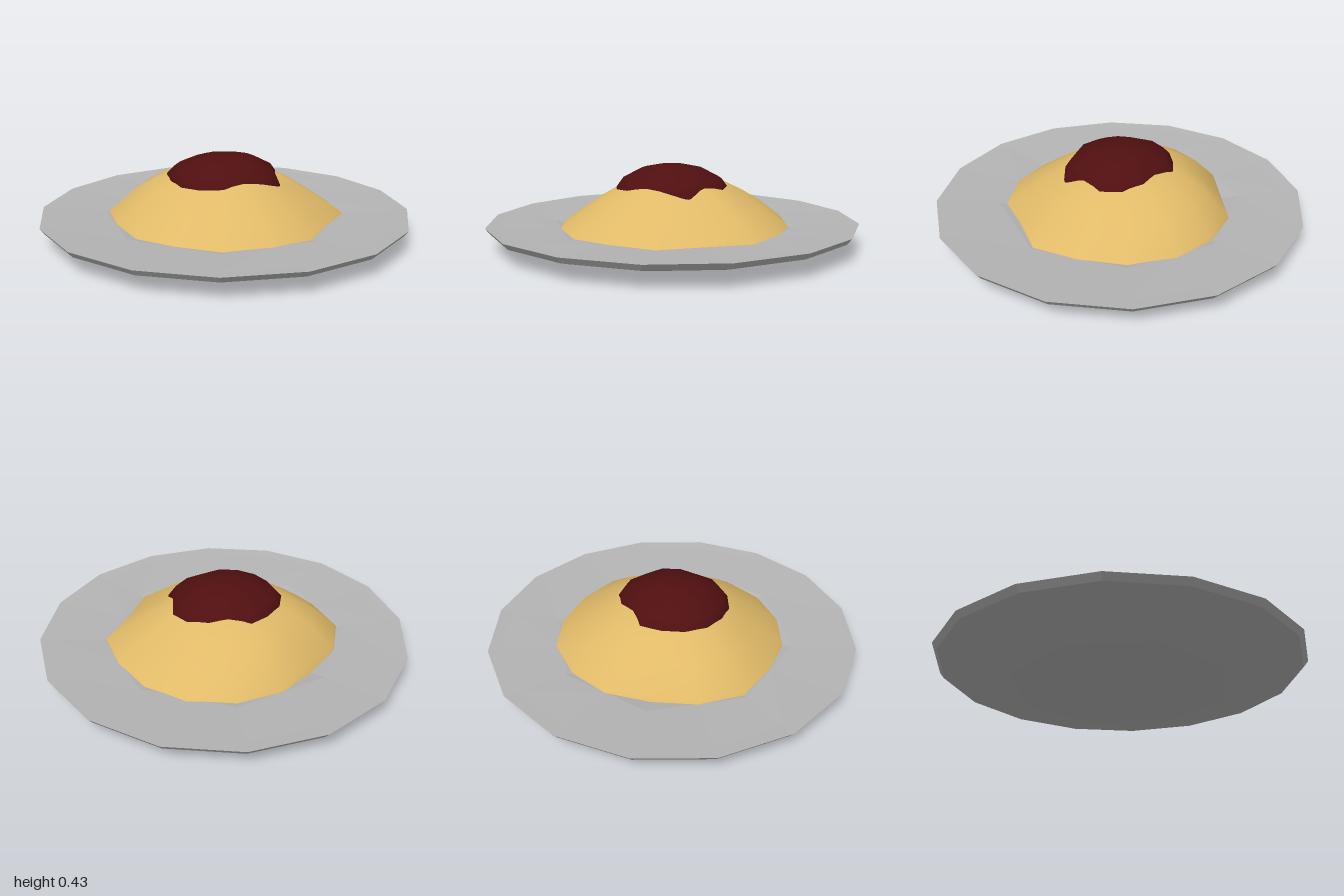
import * as THREE from 'three';

const N = 16;

// Skin a stack of 16-point rings; ring(i) returns [radius, height].
// Rings run from the outer/lower edge inward for upward-facing surfaces.
function skinRings(rings, flat) {
  const pos = [], idx = [];
  for (const ring of rings) {
    for (let i = 0; i < N; i++) {
      const a = (i / N) * Math.PI * 2;
      const [r, y] = ring(i);
      pos.push(Math.cos(a) * r, y, Math.sin(a) * r);
    }
  }
  for (let k = 0; k < rings.length - 1; k++) {
    for (let i = 0; i < N; i++) {
      const j = (i + 1) % N;
      const a = k * N + i, b = k * N + j, c = a + N, d = b + N;
      idx.push(a, c, b, b, c, d);
    }
  }
  // close the last ring with a fan
  const last = (rings.length - 1) * N;
  pos.push(0, rings[rings.length - 1](0)[2] ?? pos[last * 3 + 1], 0);
  for (let i = 0; i < N; i++) idx.push(last + i, rings.length * N, last + ((i + 1) % N));

  let geo = new THREE.BufferGeometry();
  geo.setAttribute('position', new THREE.Float32BufferAttribute(pos, 3));
  geo.setIndex(idx);
  if (flat) geo = geo.toNonIndexed();
  geo.computeVertexNormals();
  return geo;
}

export function createModel() {
  const group = new THREE.Group();
  const material = (name, color) => {
    const m = new THREE.MeshStandardMaterial({ color });
    m.name = name;
    return m;
  };
  const add = (name, geo, mat) => {
    const mesh = new THREE.Mesh(geo, mat);
    mesh.name = name;
    group.add(mesh);
  };
  const plateGrey = material('plate grey', 0xb4b4b4);
  const pastaYellow = material('pasta yellow', 0xe0ba68);
  const sauceRed = material('sauce red', 0x500f10);

  // Plate: octagonal foot opening into a 16-sided rim, shallow dish on top
  const round = (r, y) => () => [r, y];
  const octagon = (r, y) => (i) => [i % 2 ? r * Math.cos(Math.PI / 8) : r, y];
  add('plate', skinRings([
    octagon(0.001, 0), octagon(0.6, 0), octagon(0.74, 0.032), round(0.9, 0.068),
    round(0.975, 0.09), round(1, 0.122), round(0.93, 0.117),
    octagon(0.66, 0.1), octagon(0.5, 0.07),
  ], true), plateGrey);

  // Pasta: uneven mound, fuller at the back (-z)
  const base = [0.62, 0.62, 0.64, 0.565, 0.61, 0.615, 0.61, 0.605,
    0.6, 0.595, 0.625, 0.605, 0.555, 0.605, 0.61, 0.635];
  const back = (i) => Math.max(0, -Math.sin((i / N) * Math.PI * 2));
  const mound = (f, y, bulge) => (i) => [base[i] * f, y + bulge * back(i)];
  add('pasta', skinRings([
    mound(1.04, 0.075, 0), mound(1, 0.105, 0.01), mound(0.8, 0.19, 0.045),
    mound(0.62, 0.262, 0.035), mound(0.46, 0.318, 0.015), mound(0.25, 0.365, 0),
  ], false), pastaYellow);

  // Sauce: ragged cap sunk into the top of the mound
  const edge = [0.315, 0.32, 0.3, 0.32, 0.31, 0.29, 0.315, 0.32,
    0.32, 0.315, 0.325, 0.315, 0.295, 0.31, 0.27, 0.3];
  const cap = (f, y, lift, top) => (i) => [edge[i] * f, y + lift * back(i), top];
  add('sauce', skinRings([
    cap(0.97, 0.24, 0.04), cap(1, 0.285, 0.03), cap(0.85, 0.352, 0.01),
    cap(0.52, 0.407, 0), cap(0.25, 0.424, 0, 0.43),
  ], false), sauceRed);

  return group;
}
